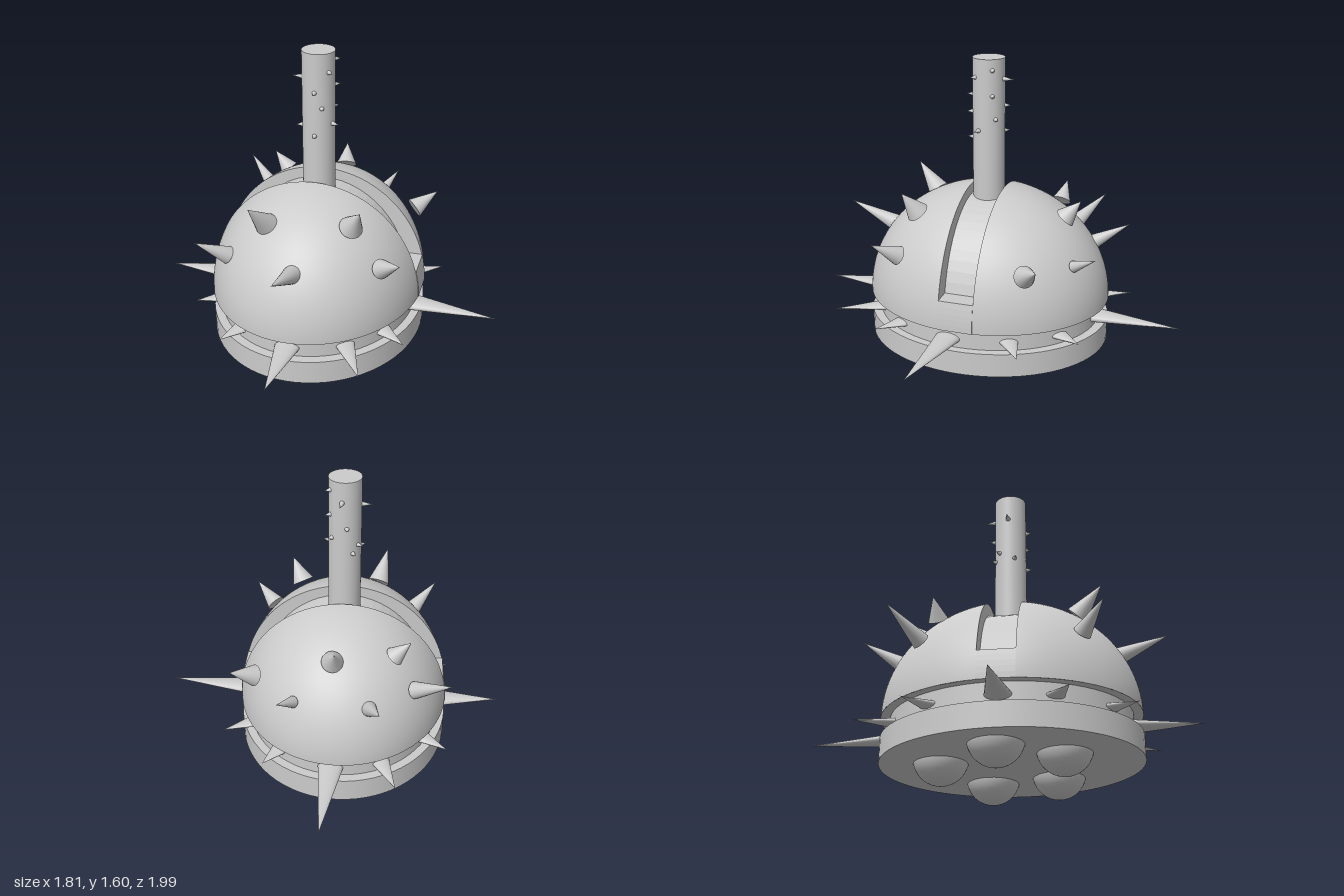
import * as THREE from 'three';

const material = new THREE.MeshStandardMaterial({ color: 0xcccccc });
const thin = new THREE.MeshStandardMaterial({ color: 0xcccccc, side: THREE.DoubleSide });
const CX = -0.065, CZ = 0.05;            // axis of the body
const RX = 0.557, RY = 0.6, RZ = 0.648;  // dome radii
const DOME_Y = 0.34, SLOT = 0.09;        // dome foot, half width of the slot

function add(parent, name, geometry, x = 0, y = 0, z = 0, mat = material) {
  const mesh = new THREE.Mesh(geometry, mat);
  mesh.name = name;
  mesh.position.set(x, y, z);
  parent.add(mesh);
  return mesh;
}

// Cone from base to tip, sunk a little into the surface; flat squashes it vertically
function spike(parent, name, base, tip, radius, flat = 1, sink = 0.03) {
  const b = new THREE.Vector3(...base), t = new THREE.Vector3(...tip);
  b.addScaledVector(t.clone().sub(b).normalize(), -sink);
  const length = b.distanceTo(t);
  const geometry = new THREE.ConeGeometry(radius, length, 20);
  geometry.translate(0, length / 2, 0).rotateX(Math.PI / 2).scale(1, flat, 1);
  add(parent, name, geometry, b.x, b.y, b.z).lookAt(t);
}

function ellipticDrum(parent, name, rx, rz, y0, y1) {
  const geometry = new THREE.CylinderGeometry(1, 1, y1 - y0, 72).scale(rx, 1, rz);
  add(parent, name, geometry, CX, (y0 + y1) / 2, CZ);
}

// Points of an upper elliptic arc from angle a0 to a1
function arc(rx, ry, a0, a1, n) {
  return Array.from({ length: n + 1 }, (_, i) => {
    const a = a0 + (a1 - a0) * i / n;
    return new THREE.Vector2(rx * Math.cos(a), ry * Math.sin(a));
  });
}

function buildDome(parent) {
  const dome = new THREE.Group();
  dome.name = 'dome';
  dome.position.set(CX, DOME_Y, CZ);
  parent.add(dome);

  // Front and back shells with the walls facing the slot
  const cut = Math.acos(SLOT / RZ), k = Math.sin(cut);
  const wall = new THREE.Shape(arc(RX * k, RY * k, 0, Math.PI, 64));
  for (const side of [1, -1]) {
    const shell = new THREE.SphereGeometry(1, 64, 32, Math.PI, Math.PI, 0, cut);
    shell.rotateX(Math.PI / 2);
    if (side < 0) shell.rotateY(Math.PI);
    shell.scale(RX, RY, RZ);
    add(dome, side > 0 ? 'frontShell' : 'backShell', shell);
    add(dome, 'slotWall', new THREE.ShapeGeometry(wall), 0, 0, side * SLOT, thin);
  }

  // Core between the shells: rim pieces, ledges and sunken slot floor
  const ledge = 0.15, ox = RX * 0.995, oy = RY * 0.995, ix = 0.46, iy = 0.54;
  const ao = Math.asin(ledge / oy), ai = Math.asin(ledge / iy);
  const profile = new THREE.Shape([
    ...arc(ox, oy, 0, ao, 5),
    ...arc(ix, iy, ai, Math.PI - ai, 24),
    ...arc(ox, oy, Math.PI - ao, Math.PI, 5),
  ]);
  const core = new THREE.ExtrudeGeometry(profile, { depth: 2 * SLOT, bevelEnabled: false });
  add(dome, 'slotFloor', core, 0, 0, -SLOT);

  // Underside
  const under = new THREE.CircleGeometry(1, 72).rotateX(Math.PI / 2).scale(RX, 1, RZ);
  add(dome, 'domeUnderside', under);
}

export function createModel() {
  const model = new THREE.Group();
  model.name = 'spikedDome';

  buildDome(model);
  ellipticDrum(model, 'spikeBand', 0.515, 0.6, 0.22, 0.345);
  ellipticDrum(model, 'basePlate', RX, RZ, 0.11, 0.235);

  // Ball feet
  const feet = [[-0.39, 0.02], [-0.21, 0.32], [0.185, 0.26], [0.24, -0.085], [-0.135, -0.285]];
  for (const [x, z] of feet) add(model, 'ballFoot', new THREE.SphereGeometry(0.137, 32, 24), x, 0.142, z);

  // Spikes round the band, given by their tips: x, z
  const bandSpike = (name, x, z, radius, flat) => {
    const dx = x - CX, dz = z - CZ;
    const s = 0.93 / Math.hypot(dx / 0.515, dz / 0.6);
    spike(model, name, [CX + dx * s, 0.28, CZ + dz * s], [x, 0.28, z], radius, flat, 0);
  };
  for (const [x, z] of [[-0.07, 0.99], [0, -1], [-0.91, 0.06], [0.9, 0.15]]) {
    bandSpike('longBandSpike', x, z, 0.07, 0.45);
  }
  const shortTips = [[-0.41, 0.68], [0.325, 0.79], [0.48, 0.49], [-0.65, 0.38],
    [-0.62, -0.38], [-0.355, -0.68], [0.32, -0.54], [0.555, -0.29]];
  for (const [x, z] of shortTips) bandSpike('shortBandSpike', x, z, 0.055, 0.42);

  // Spikes on the dome: base, tip, radius
  const domeSpikes = [
    [[-0.245, 0.83, 0.42], [-0.285, 0.95, 0.53], 0.058],
    [[0.19, 0.85, 0.37], [0.235, 0.94, 0.42], 0.06],
    [[-0.35, 0.81, -0.28], [-0.41, 0.88, -0.29], 0.05],
    [[-0.03, 0.83, -0.39], [-0.04, 0.9, -0.45], 0.055],
    [[-0.055, 0.66, 0.59], [-0.07, 0.755, 0.85], 0.05],
    [[-0.455, 0.64, 0.45], [-0.565, 0.735, 0.545], 0.045],
    [[0.36, 0.66, 0.42], [0.45, 0.73, 0.5], 0.05],
    [[0.4, 0.65, -0.29], [0.49, 0.71, -0.36], 0.055],
    [[-0.46, 0.64, -0.35], [-0.615, 0.755, -0.47], 0.045],
    [[-0.22, 0.63, -0.51], [-0.265, 0.72, -0.67], 0.04],
    [[0.175, 0.64, -0.49], [0.23, 0.7, -0.59], 0.03],
  ];
  for (const [base, tip, radius] of domeSpikes) spike(model, 'domeSpike', base, tip, radius);

  // Upright rod
  const rod = 0.083;
  add(model, 'rod', new THREE.CylinderGeometry(rod, rod, 0.77, 40), CX, 1.22, CZ);

  // Rod thorns: angle from the front, height, length
  const thorns = [
    [0, 1.41, 0.035], [0.45, 1.33, 0.03], [0, 1.185, 0.035],
    [0.9, 1.51, 0.03], [2.1, 1.55, 0.03], [2.1, 1.42, 0.03], [2.3, 1.3, 0.03], [1.2, 1.24, 0.04],
    [3, 1.5, 0.06], [3.3, 1.36, 0.03], [-2.6, 1.22, 0.03],
    [-1.6, 1.46, 0.055], [-2.2, 1.26, 0.03], [-1.2, 1.22, 0.03],
  ];
  for (const [a, y, length] of thorns) {
    const at = r => [CX + r * Math.sin(a), y, CZ + r * Math.cos(a)];
    spike(model, 'rodThorn', at(rod), at(rod + length), 0.013, 1, 0.005);
  }
  return model;
}
